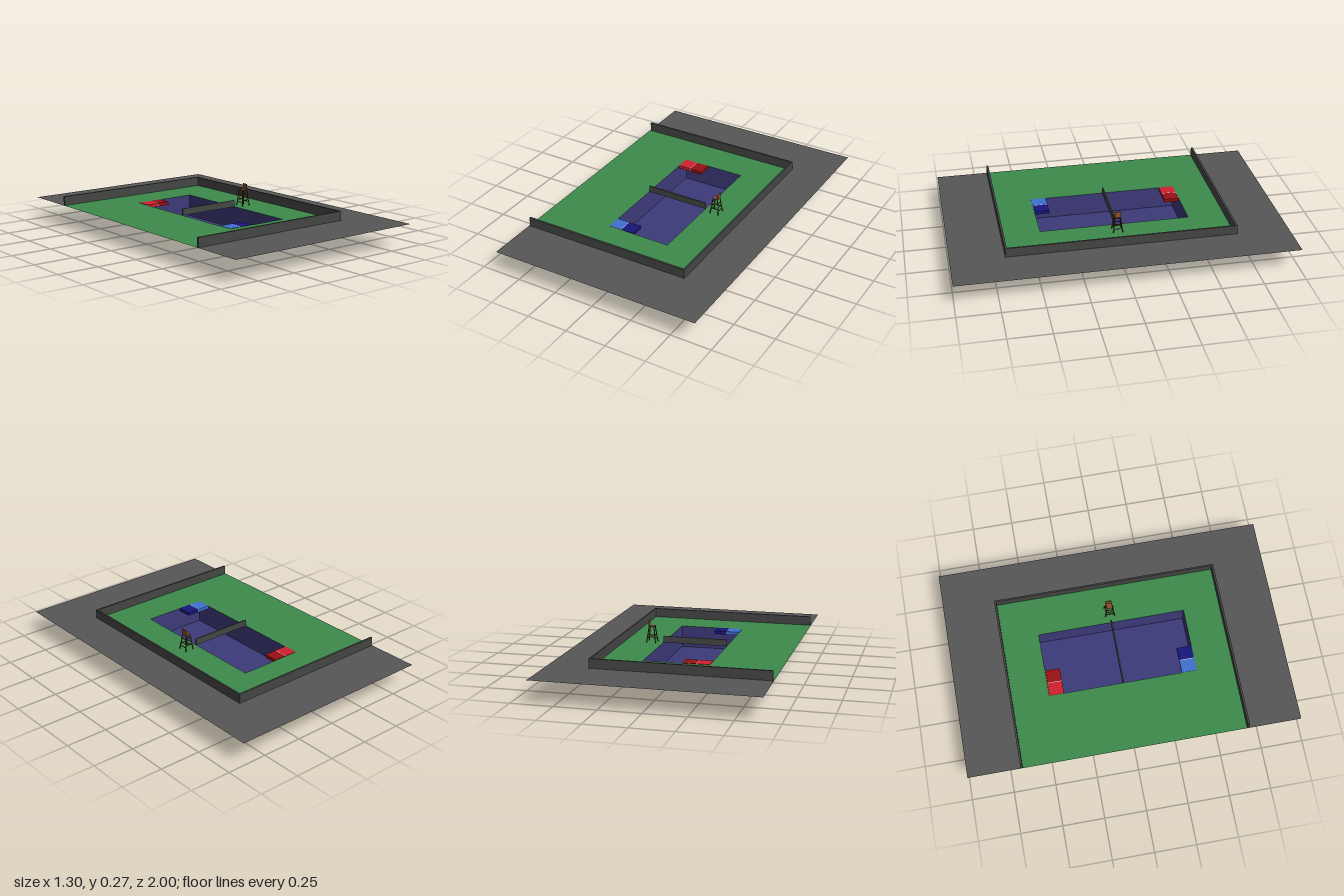
import * as THREE from 'three';

const GROUND = 0.137;
const mat = (color) => new THREE.MeshStandardMaterial({ color, side: THREE.DoubleSide });
const paving = mat(0x565656), lawnGreen = mat(0x3c8a4b), wallGrey = mat(0x444644), poolBlue = mat(0x3d3a7a);
const wood = mat(0x8a4f28), darkWood = mat(0x4a2a14);

export function createModel() {
  const model = new THREE.Group();

  const add = (name, geometry, material, parent = model) => {
    const mesh = new THREE.Mesh(geometry, material);
    mesh.name = name;
    parent.add(mesh);
    return mesh;
  };
  // Box given by its extents
  const box = (name, material, [x0, x1], [y0, y1], [z0, z1], parent) =>
    add(name, new THREE.BoxGeometry(x1 - x0, y1 - y0, z1 - z0), material, parent)
      .position.set((x0 + x1) / 2, (y0 + y1) / 2, (z0 + z1) / 2);
  // Flat sheet facing up, outlined in x and z
  const sheet = (name, material, outline, hole) => {
    const points = (list) => list.map(([x, z]) => new THREE.Vector2(x, -z));
    const shape = new THREE.Shape(points(outline));
    if (hole) shape.holes.push(new THREE.Path(points(hole)));
    const geometry = new THREE.ShapeGeometry(shape).rotateX(-Math.PI / 2);
    add(name, geometry, material).position.y = GROUND;
  };
  // Straight round bar between two points
  const bar = (name, a, b, radius, material, parent) => {
    const from = new THREE.Vector3(...a), to = new THREE.Vector3(...b);
    const dir = to.clone().sub(from);
    const mesh = add(name, new THREE.CylinderGeometry(radius, radius, dir.length(), 6), material, parent);
    mesh.position.copy(from).add(to).multiplyScalar(0.5);
    mesh.quaternion.setFromUnitVectors(new THREE.Vector3(0, 1, 0), dir.normalize());
  };

  // Paving around three sides, lawn with an opening for the pit
  sheet('paving', paving, [[-0.65, 1], [0.65, 1], [0.65, -1], [-0.65, -1],
    [-0.65, -0.68], [0.4, -0.68], [0.4, 0.68], [-0.65, 0.68]]);
  sheet('lawn', lawnGreen, [[-0.65, 0.68], [0.4, 0.68], [0.4, -0.68], [-0.65, -0.68]],
    [[-0.24, 0.45], [0.155, 0.45], [0.155, -0.45], [-0.24, -0.45]]);

  // Sunken pit, open on top
  const pit = new THREE.Group();
  pit.name = 'pit';
  model.add(pit);
  add('pitFloor', new THREE.PlaneGeometry(0.395, 0.9).rotateX(-Math.PI / 2), poolBlue, pit)
    .position.set(-0.0425, 0.001, 0);
  for (const s of [-1, 1]) {
    add('pitEnd', new THREE.PlaneGeometry(0.395, GROUND), poolBlue, pit)
      .position.set(-0.0425, GROUND / 2, s * 0.45);
    add('pitSide', new THREE.PlaneGeometry(0.9, GROUND).rotateY(Math.PI / 2), poolBlue, pit)
      .position.set(-0.0425 + s * 0.1975, GROUND / 2, 0);
  }

  // Low boundary walls on three sides
  const wallY = [GROUND, 0.193];
  box('frontWall', wallGrey, [-0.645, 0.4], wallY, [0.672, 0.684]);
  box('backWall', wallGrey, [-0.645, 0.4], wallY, [-0.684, -0.672]);
  box('sideWall', wallGrey, [0.393, 0.403], wallY, [-0.684, 0.684]);

  // Divider across the middle of the pit
  box('divider', wallGrey, [-0.24, 0.155], [GROUND, 0.177], [-0.004, 0.004]);

  // Two-tone platforms in the end corners
  for (const [name, light, dark, z] of [
    ['bluePlatform', 0x3f6fd0, 0x17177a, [0.36, 0.451]],
    ['redPlatform', 0xd0202e, 0x961014, [-0.449, -0.36]]]) {
    const platform = new THREE.Group();
    platform.name = name;
    model.add(platform);
    const y = [0.119, GROUND + 0.002];
    box('lightHalf', mat(light), [-0.24, -0.162], y, z, platform);
    box('darkHalf', mat(dark), [-0.159, -0.08], y, z, platform);
    box('centreStrip', mat(0xd8d8e0), [-0.162, -0.159], y, z, platform);
  }

  // Tall chair beside the divider
  const chair = new THREE.Group();
  chair.name = 'tallChair';
  model.add(chair);
  const seatY = 0.234;
  const legPoint = (sx, sz, y) => {
    const t = (seatY - y) / (seatY - GROUND);
    return [0.2275 + sx * (0.015 + 0.013 * t), y, sz * (0.015 + 0.013 * t)];
  };
  box('seat', wood, [0.209, 0.246], [0.232, 0.237], [-0.018, 0.018], chair);
  box('backrest', wood, [0.242, 0.246], [seatY, 0.27], [-0.018, 0.018], chair);
  for (const sx of [-1, 1]) {
    for (const sz of [-1, 1])
      bar('leg', legPoint(sx, sz, seatY), legPoint(sx, sz, GROUND), 0.003, darkWood, chair);
    for (const y of [0.16, 0.183, 0.206])
      bar('rung', legPoint(sx, -1, y), legPoint(sx, 1, y), 0.0025, darkWood, chair);
  }
  for (const sz of [-1, 1])
    bar('sideRung', legPoint(-1, sz, 0.172), legPoint(1, sz, 0.172), 0.0025, darkWood, chair);

  return model;
}
